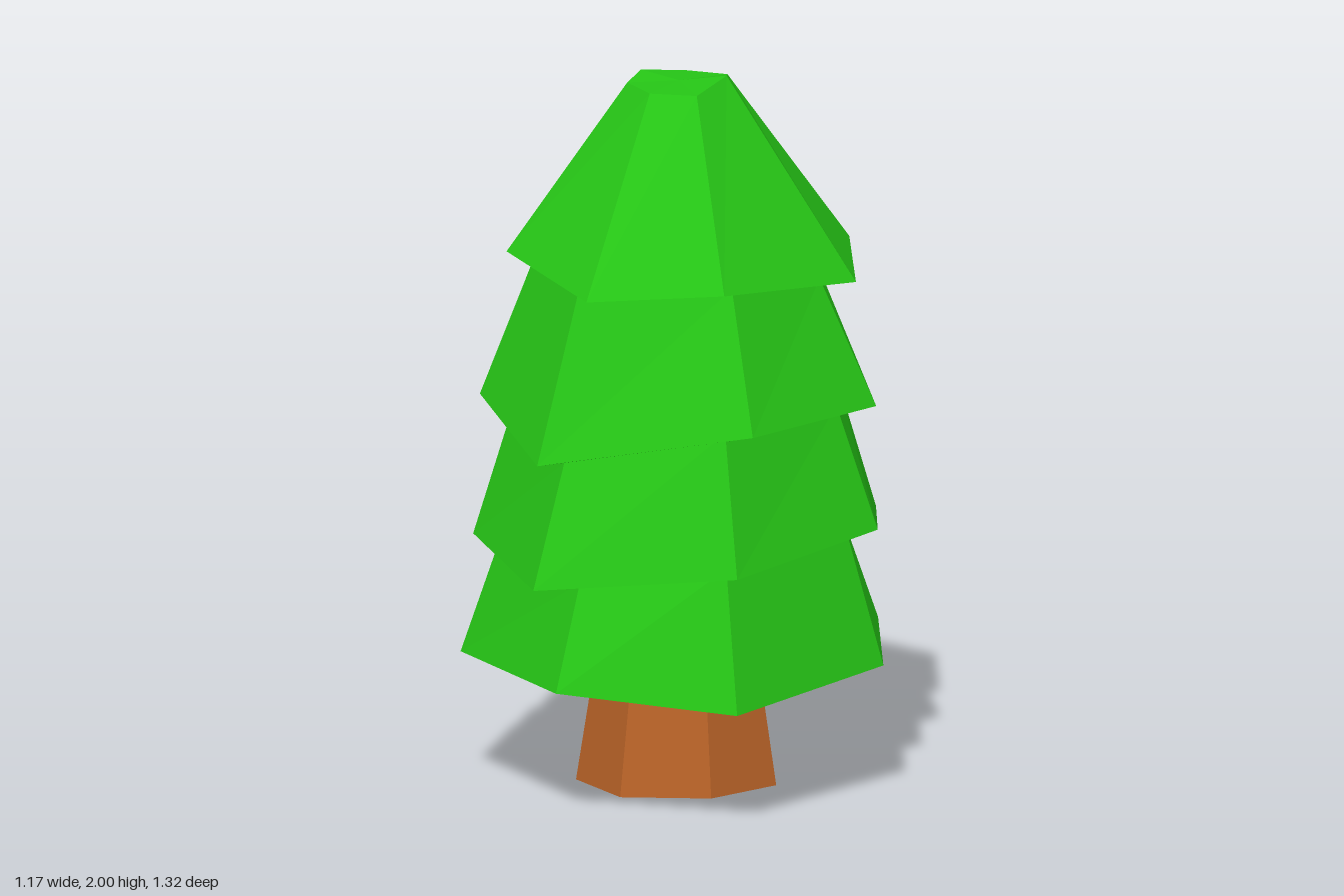
import * as THREE from 'three';

// Scale a ring of [x, y, z] corners towards the axis and set its heights.
const ring = (base, scale, height) =>
  base.map(([x, y, z], i) => [x * scale, height(i, y), z * scale]);

// Skin a stack of seven-sided rings and close both ends with fans.
function loft(rings) {
  const pos = [];
  const tri = (a, b, c) => pos.push(...a, ...b, ...c);
  const centre = (r) => [0, 1, 2].map((k) => r.reduce((s, p) => s + p[k], 0) / r.length);
  const n = rings[0].length;
  const first = rings[0], last = rings[rings.length - 1];
  const c0 = centre(first), c1 = centre(last);
  for (let i = 0; i < n; i++) {
    const j = (i + 1) % n;
    for (let k = 0; k < rings.length - 1; k++) {
      const lo = rings[k], hi = rings[k + 1];
      tri(lo[j], lo[i], hi[i]);
      tri(lo[j], hi[i], hi[j]);
    }
    tri(c0, first[i], first[j]);
    tri(c1, last[j], last[i]);
  }
  const geo = new THREE.BufferGeometry();
  geo.setAttribute('position', new THREE.Float32BufferAttribute(pos, 3));
  geo.computeVertexNormals();
  return geo;
}

// Lower rims of the branch tiers, corners running from the back round by +x.
const tiers = [
  [[0, 0.37, -0.66], [0.49, 0.37, -0.405], [0.585, 0.37, 0.155], [0.25, 0.335, 0.655],
    [-0.26, 0.37, 0.61], [-0.59, 0.37, 0.155], [-0.53, 0.37, -0.41]],
  [[0, 0.72, -0.635], [0.485, 0.685, -0.4], [0.57, 0.755, 0.16], [0.25, 0.72, 0.655],
    [-0.325, 0.655, 0.595], [-0.555, 0.705, 0.155], [-0.51, 0.71, -0.375]],
  [[0, 1.035, -0.55], [0.44, 1.085, -0.345], [0.56, 1.095, 0.12], [0.28, 1.1, 0.56],
    [-0.325, 0.99, 0.52], [-0.54, 1.095, 0.13], [-0.45, 1.08, -0.345]],
  [[0, 1.49, -0.485], [0.43, 1.48, -0.265], [0.503, 1.443, 0.115], [0.19, 1.48, 0.485],
    [-0.19, 1.455, 0.507], [-0.463, 1.505, 0.15], [-0.425, 1.485, -0.265]],
];
const crown = [[0, 1.975, -0.095], [0.12, 1.975, -0.065], [0.135, 2, 0.055], [0.07, 1.97, 0.18],
  [-0.065, 1.965, 0.15], [-0.145, 1.965, 0.03], [-0.12, 1.98, -0.065]];
const tierTopScale = [0.81, 0.79, 0.71];

const trunkBase = [[0, 0, -0.275], [0.22, 0, -0.168], [0.275, 0, 0.07], [0.12, 0, 0.25],
  [-0.13, 0, 0.27], [-0.28, 0, 0.08], [-0.22, 0, -0.168]];

export function createModel() {
  const group = new THREE.Group();
  group.name = 'tree';
  const add = (name, geo, color) => {
    const mesh = new THREE.Mesh(geo, new THREE.MeshStandardMaterial({ color, flatShading: true }));
    mesh.name = name;
    group.add(mesh);
  };

  // Trunk, tapering up into the hollow under the lowest tier
  add('trunk', loft([trunkBase, ring(trunkBase, 0.64, () => 0.66)]), 0xbb6428);

  // Foliage: hollow underside first, then each tier rim and its narrower top
  const rings = [ring(tiers[0], 0.55, () => 0.64), ring(tiers[0], 0.7, (i, y) => y)];
  tiers.forEach((rim, t) => {
    rings.push(rim);
    if (t < 3) rings.push(ring(rim, tierTopScale[t], (i) => tiers[t + 1][i][1]));
  });
  rings.push(crown);
  add('foliage', loft(rings), 0x26c616);

  return group;
}
